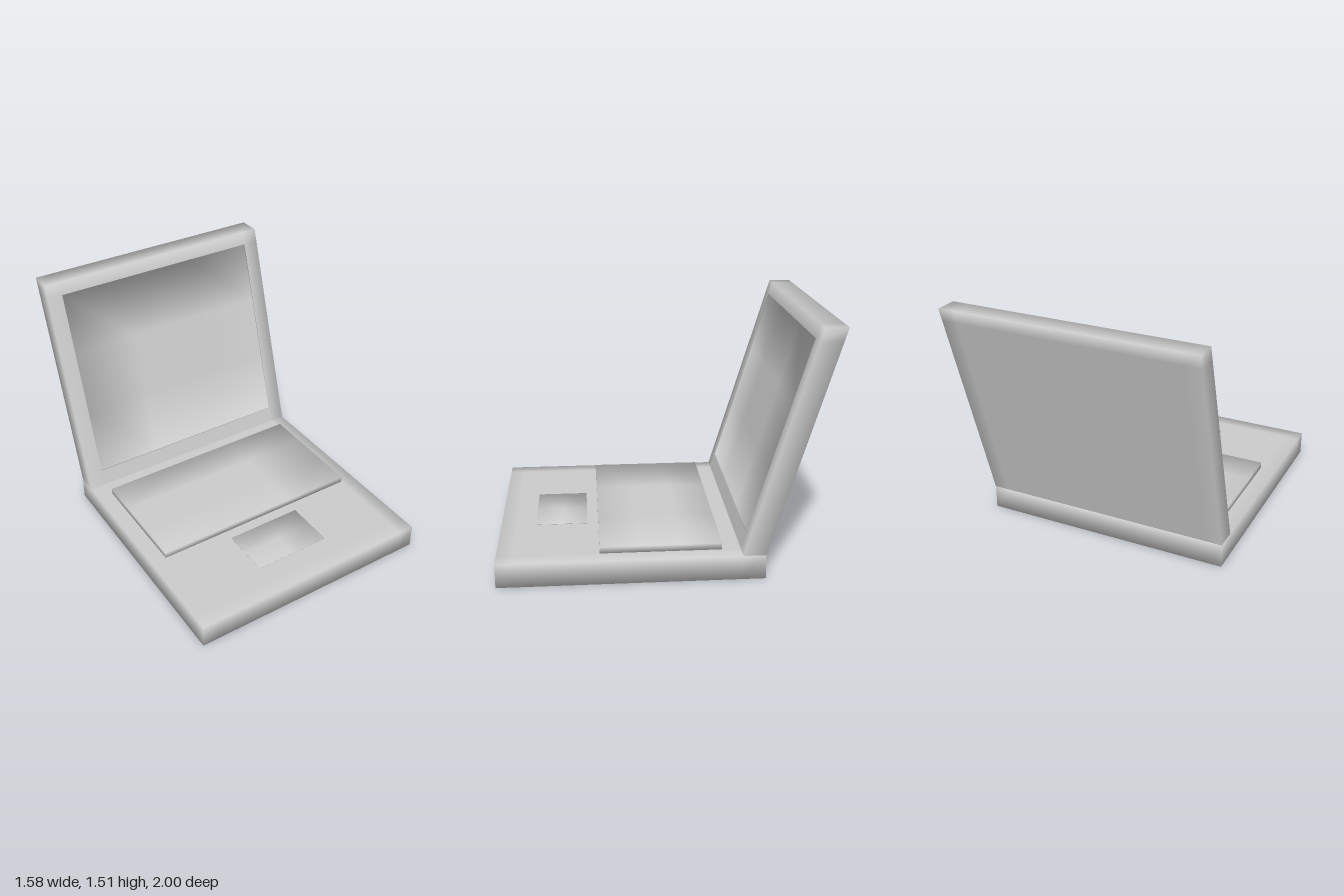
import * as THREE from 'three';

const material = new THREE.MeshStandardMaterial({ color: 0xcccccc });

// Box cut at the given x, y and z stops, with soft shading around its edges.
// skip(centre) drops triangles; inward turns the box into a hollow tray.
function softBox(xs, ys, zs, { skip = () => false, inward = false, openBase = false } = {}) {
  const stops = [xs, ys, zs];
  const geo = new THREE.BoxGeometry(1, 1, 1, xs.length - 1, ys.length - 1, zs.length - 1);
  const pos = geo.attributes.position;
  const nor = geo.attributes.normal;
  const n = new THREE.Vector3();
  for (let i = 0; i < pos.count; i++) {
    for (let a = 0; a < 3; a++) {
      const last = stops[a].length - 1;
      const k = Math.round((pos.getComponent(i, a) + 0.5) * last);
      pos.setComponent(i, a, stops[a][k]);
      n.setComponent(a, k === 0 ? -1 : k === last ? 1 : 0);
    }
    if (openBase && n.y < 0 && (n.x || n.z)) n.y = 0;
    n.normalize().multiplyScalar(inward ? -1 : 1);
    nor.setXYZ(i, n.x, n.y, n.z);
  }
  const index = [];
  const corner = new THREE.Vector3();
  for (let t = 0; t < geo.index.count; t += 3) {
    const tri = [0, 1, 2].map((j) => geo.index.getX(t + j));
    const centre = new THREE.Vector3();
    tri.forEach((v) => centre.addScaledVector(corner.fromBufferAttribute(pos, v), 1 / 3));
    if (!skip(centre)) index.push(...(inward ? tri.reverse() : tri));
  }
  geo.setIndex(index);
  return geo;
}

// Lean the lid back: z falls as y rises above the hinge line
const hingeY = 0.15;
const slope = 0.303;
const lean = new THREE.Matrix4().set(
  1, 0, 0, 0,
  0, 1, 0, 0,
  0, -slope, 1, slope * hingeY,
  0, 0, 0, 1
);

export function createModel() {
  const model = new THREE.Group();
  const add = (name, geo) => {
    const mesh = new THREE.Mesh(geo, material);
    mesh.name = name;
    model.add(mesh);
  };

  const wide = [-0.79, -0.69, 0.69, 0.79];
  const inner = [-0.69, -0.25, 0.25, 0.69];
  const front = -0.453;
  const [screenLow, screenHigh] = [0.25, 1.43];

  // Base slab, raised keyboard and thin touchpad
  add('base', softBox(wide, [0, hingeY], [-0.59, -0.45, 0.9, 1]));
  add('keyboard', softBox(inner, [hingeY, 0.19], [-0.34, -0.1, 0.15, 0.39]));
  add('touchpad', softBox([-0.25, 0, 0.25], [hingeY, 0.152], [0.46, 0.62, 0.78]));

  // Lid with a window left open in its front face
  const inWindow = (c) =>
    c.z > front - 0.001 && Math.abs(c.x) < 0.69 && c.y > screenLow && c.y < screenHigh;
  const lid = softBox(wide, [hingeY, screenLow, screenHigh, 1.51], [-0.59, front], {
    skip: inWindow,
    openBase: true,
  });
  add('lid', lid.applyMatrix4(lean));

  // Screen: shallow tray set into the window
  const screen = softBox(inner, [screenLow, 0.65, 1.05, screenHigh], [front - 0.008, front], {
    skip: (c) => c.z > front - 0.001,
    inward: true,
  });
  // the tray floor curves only towards its rim walls
  add('screen', screen.applyMatrix4(lean));

  return model;
}
